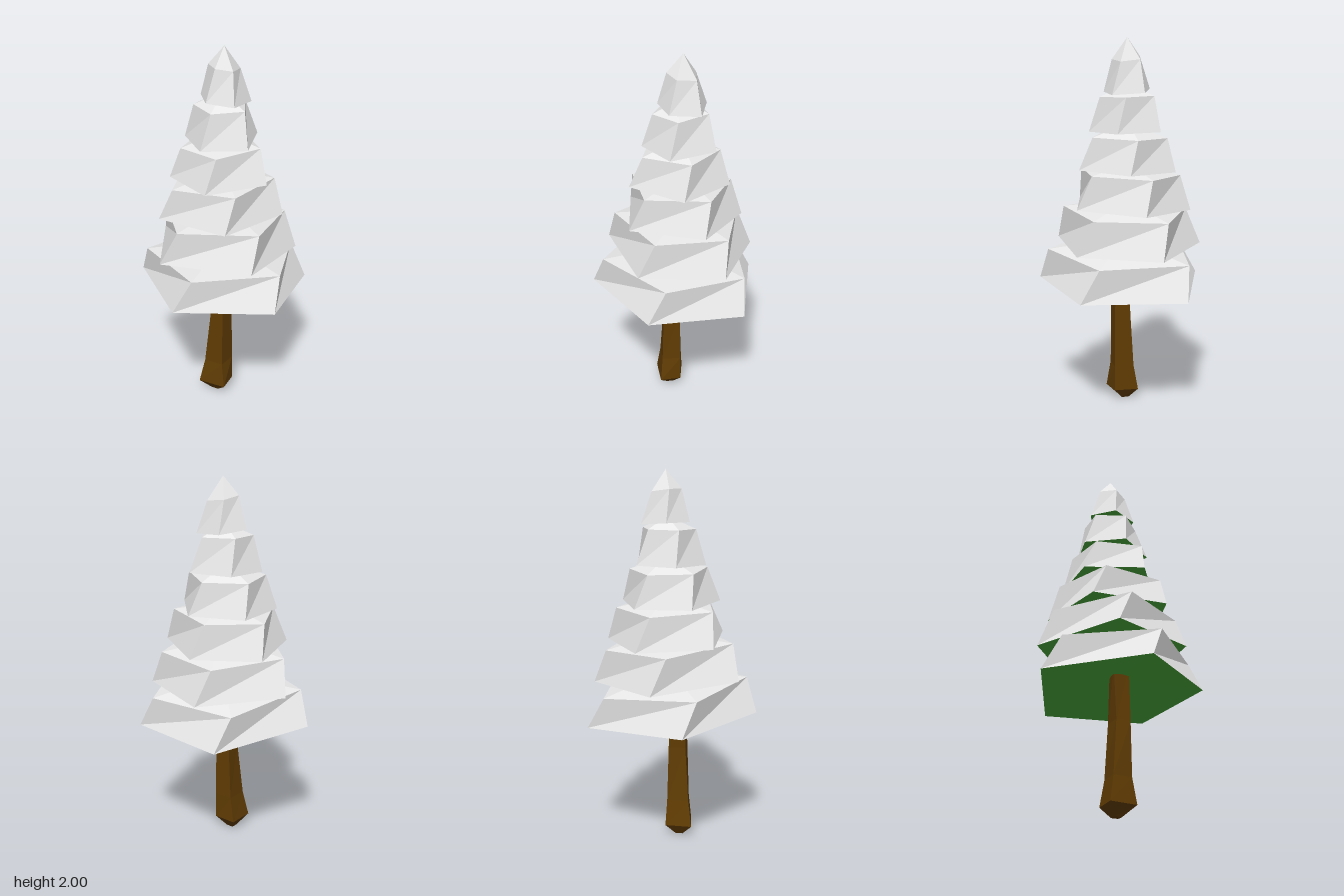
import * as THREE from 'three';

const snow = new THREE.MeshStandardMaterial({ color: 0xeaeaea, flatShading: true });
const needles = new THREE.MeshStandardMaterial({ color: 0x4cae3c, flatShading: true });
const bark = new THREE.MeshStandardMaterial({ color: 0x603c03, flatShading: true });
snow.name = 'snow';
needles.name = 'needles';
bark.name = 'bark';

// Triangle helpers: every ring runs from +x towards +z.
function skin(tris, low, high) {
  low.forEach((p, i) => {
    const j = (i + 1) % low.length;
    tris.push(p, high[i], low[j], high[i], high[j], low[j]);
  });
}
function capUp(tris, ring, tip) {
  ring.forEach((p, i) => tris.push(p, tip, ring[(i + 1) % ring.length]));
}
function capDown(tris, ring, tip) {
  ring.forEach((p, i) => tris.push(p, ring[(i + 1) % ring.length], tip));
}
function addMesh(group, name, tris, material) {
  const geometry = new THREE.BufferGeometry().setFromPoints(tris);
  geometry.computeVertexNormals();
  const mesh = new THREE.Mesh(geometry, material);
  mesh.name = name;
  group.add(mesh);
}
function centreOf(ring) {
  return ring.reduce((sum, p) => sum.add(p), new THREE.Vector3()).divideScalar(ring.length);
}

// Each tier: rim corners (x, z), rim height, tilt along x and z,
// height and scale of the shoulder, and height of the tip.
const tiers = [
  { rim: [[0.45, -0.03], [0.22, 0.435], [-0.305, 0.395], [-0.45, -0.155], [0.065, -0.435]],
    y: 0.68, tilt: [-0.03, 0.06], rise: 0.175, scale: 0.88, tip: 0.93 },
  { rim: [[0.38, 0.045], [0.1, 0.4], [-0.36, 0.24], [-0.315, -0.265], [0.16, -0.345]],
    y: 0.895, tilt: [-0.02, 0.05], rise: 0.185, scale: 0.86, tip: 1.14 },
  { rim: [[0.295, 0.11], [-0.03, 0.35], [-0.355, 0.085], [-0.19, -0.28], [0.18, -0.25]],
    y: 1.105, tilt: [0.02, 0.04], rise: 0.18, scale: 0.84, tip: 1.34 },
  { rim: [[0.2, 0.17], [-0.125, 0.27], [-0.29, -0.005], [-0.105, -0.24], [0.185, -0.155]],
    y: 1.305, tilt: [0.01, 0.02], rise: 0.175, scale: 0.79, tip: 1.55 },
  { rim: [[0.175, -0.065], [0.1, 0.18], [-0.14, 0.17], [-0.205, -0.05], [-0.035, -0.19]],
    y: 1.51, tilt: [0, -0.02], rise: 0.185, scale: 0.73, tip: 1.76 },
  { rim: [[0.135, 0], [0.035, 0.13], [-0.105, 0.09], [-0.12, -0.06], [0.025, -0.13]],
    y: 1.72, tilt: [-0.1, 0], rise: 0.17, scale: 0.62, tip: 2 },
];
const TWIST = THREE.MathUtils.degToRad(11);
const UP = new THREE.Vector3(0, 1, 0);

function createTier({ rim, y, tilt, rise, scale, tip }, index) {
  const group = new THREE.Group();
  group.name = `branchTier${index + 1}`;
  const low = rim.map(([x, z]) => new THREE.Vector3(x, y + tilt[0] * x + tilt[1] * z, z));
  const centre = centreOf(low);
  // The shoulder is the rim shrunk, lifted and twisted
  const high = low.map((p) => {
    const q = p.clone().sub(centre).applyAxisAngle(UP, TWIST);
    q.x *= scale;
    q.z *= scale;
    q.y += rise;
    return q.add(centre);
  });
  const top = [];
  skin(top, low, high);
  capUp(top, high, new THREE.Vector3(centre.x * 0.6, tip, centre.z * 0.6));
  addMesh(group, `snowCover${index + 1}`, top, snow);
  // Green underside, hollowed towards the middle
  const under = [];
  const hollow = 0.17 * low[0].distanceTo(centre);
  capDown(under, low, centre.clone().addScaledVector(UP, hollow));
  addMesh(group, `underside${index + 1}`, under, needles);
  return group;
}

// Four-sided crooked trunk, flared at the foot: height, then right, front, left, back corners
function createTrunk(group) {
  const rings = [
    [0, [-0.03, 0.06], [-0.05, 0.09], [-0.085, 0.065], [-0.06, 0.035]],
    [0.06, [0.035, 0.06], [-0.02, 0.16], [-0.153, 0.08], [-0.06, -0.03]],
    [0.2, [0.035, 0.06], [-0.03, 0.138], [-0.12, 0.08], [-0.045, -0.01]],
    [0.5, [0.031, 0.06], [-0.025, 0.13], [-0.087, 0.08], [-0.035, 0.005]],
    [0.8, [0.022, 0.065], [-0.02, 0.12], [-0.096, 0.07], [-0.03, 0.012]],
  ].map(([y, ...corners]) => corners.map(([x, z]) => new THREE.Vector3(x, y, z)));
  const tris = [];
  for (let i = 0; i < rings.length - 1; i++) skin(tris, rings[i], rings[i + 1]);
  capDown(tris, rings[0], centreOf(rings[0]));
  addMesh(group, 'trunk', tris, bark);
}

export function createModel() {
  const tree = new THREE.Group();
  tree.name = 'snowyTree';
  createTrunk(tree);
  tiers.forEach((tier, i) => tree.add(createTier(tier, i)));
  return tree;
}
